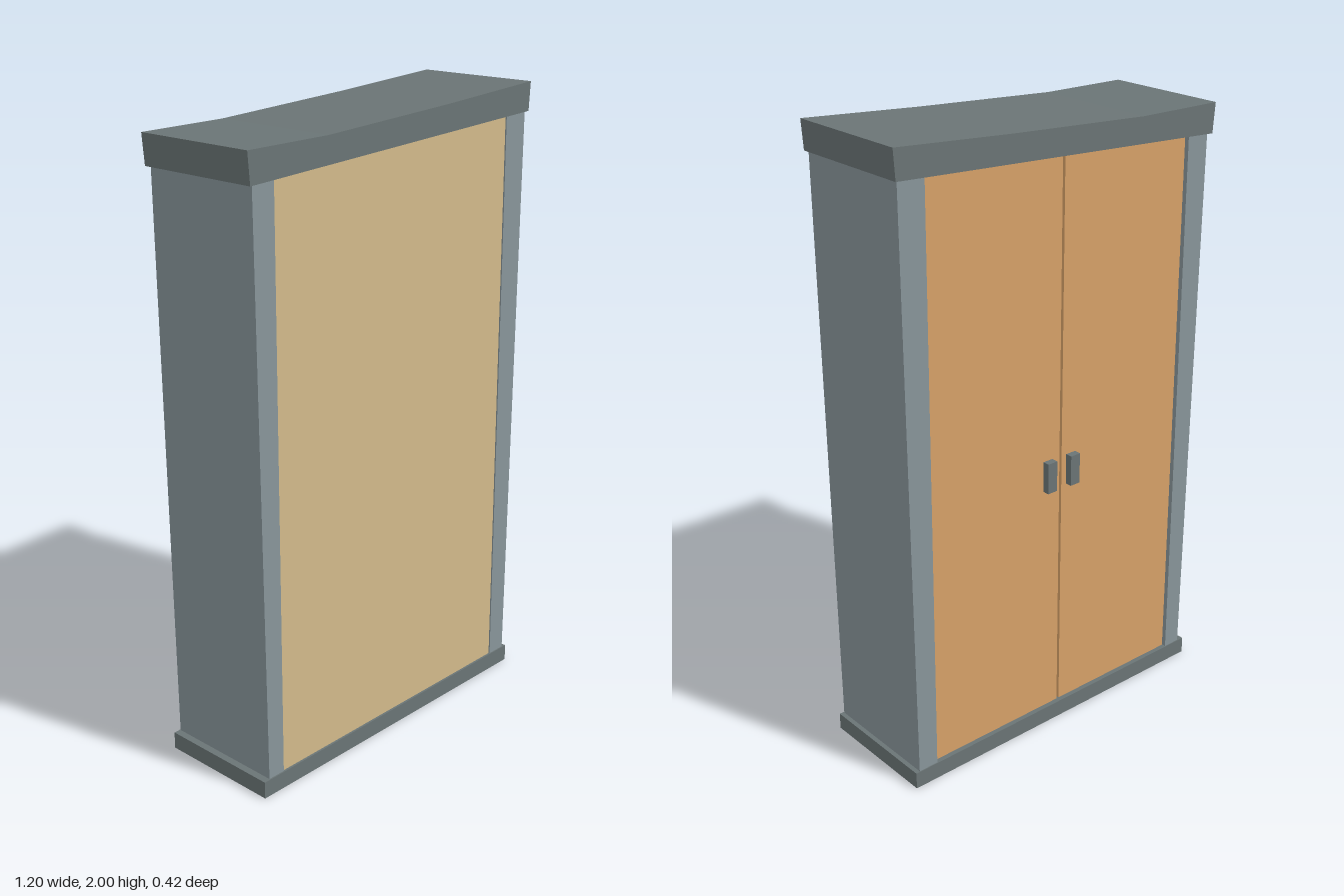
import * as THREE from 'three';

const wallMat = new THREE.MeshStandardMaterial({ color: 0x88959a });
const trimMat = new THREE.MeshStandardMaterial({ color: 0x6a7475 });
const panelMat = new THREE.MeshStandardMaterial({ color: 0xd2ba8a });
const doorMat = new THREE.MeshStandardMaterial({ color: 0xd6a168 });

// Height of the sloping underside of the top at x
const topAt = (x) => 1.878 + 0.054 * x;

// Outline in the xy plane extruded from z0 to z1
function slab(name, points, z0, z1, material) {
  const shape = new THREE.Shape(points.map(([x, y]) => new THREE.Vector2(x, y)));
  const geo = new THREE.ExtrudeGeometry(shape, { depth: z1 - z0, bevelEnabled: false });
  geo.translate(0, 0, z0);
  const mesh = new THREE.Mesh(geo, material);
  mesh.name = name;
  return mesh;
}

// Upright board whose top follows the slope, given its x limits at bottom and top
function board(name, [b0, b1], [t0, t1], z0, z1, material) {
  const y = 0.05;
  return slab(name, [[b0, y], [b1, y], [t1, topAt(t1) + 0.005], [t0, topAt(t0) + 0.005]], z0, z1, material);
}

export function createModel() {
  const g = new THREE.Group();
  g.name = 'cabinet';

  // Base and crooked top
  g.add(slab('base', [[-0.583, 0], [0.585, 0], [0.585, 0.055], [-0.583, 0.055]], -0.203, 0.207, trimMat));
  g.add(slab('top', [
    [-0.592, topAt(-0.592)], [0.592, topAt(0.592)], [0.598, 2],
    [0.2, 1.972], [-0.3, 1.943], [-0.6, 1.94],
  ], -0.21, 0.21, trimMat));

  // Side walls leaning slightly outwards
  g.add(board('rightWall', [-0.56, -0.5], [-0.58, -0.5], -0.2, 0.203, wallMat));
  g.add(board('leftWall', [0.502, 0.57], [0.492, 0.582], -0.2, 0.203, wallMat));

  // Plain panel on the front, two recessed doors on the back
  g.add(board('frontPanel', [-0.5, 0.5], [-0.5, 0.49], 0.18, 0.2, panelMat));
  g.add(board('leftDoor', [-0.004, 0.5], [-0.004, 0.49], -0.187, -0.165, doorMat));
  g.add(board('rightDoor', [-0.498, -0.013], [-0.498, -0.013], -0.187, -0.165, doorMat));

  // Dark stop behind the gap between the doors
  g.add(board('doorStop', [-0.04, 0.02], [-0.04, 0.02], -0.165, -0.155, trimMat));

  // Door handles
  for (const [name, x, y] of [['leftHandle', 0.043, 0.89], ['rightHandle', -0.05, 0.888]]) {
    const handle = new THREE.Mesh(new THREE.BoxGeometry(0.036, 0.1, 0.026), trimMat);
    handle.name = name;
    handle.position.set(x, y, -0.197);
    g.add(handle);
  }
  return g;
}
